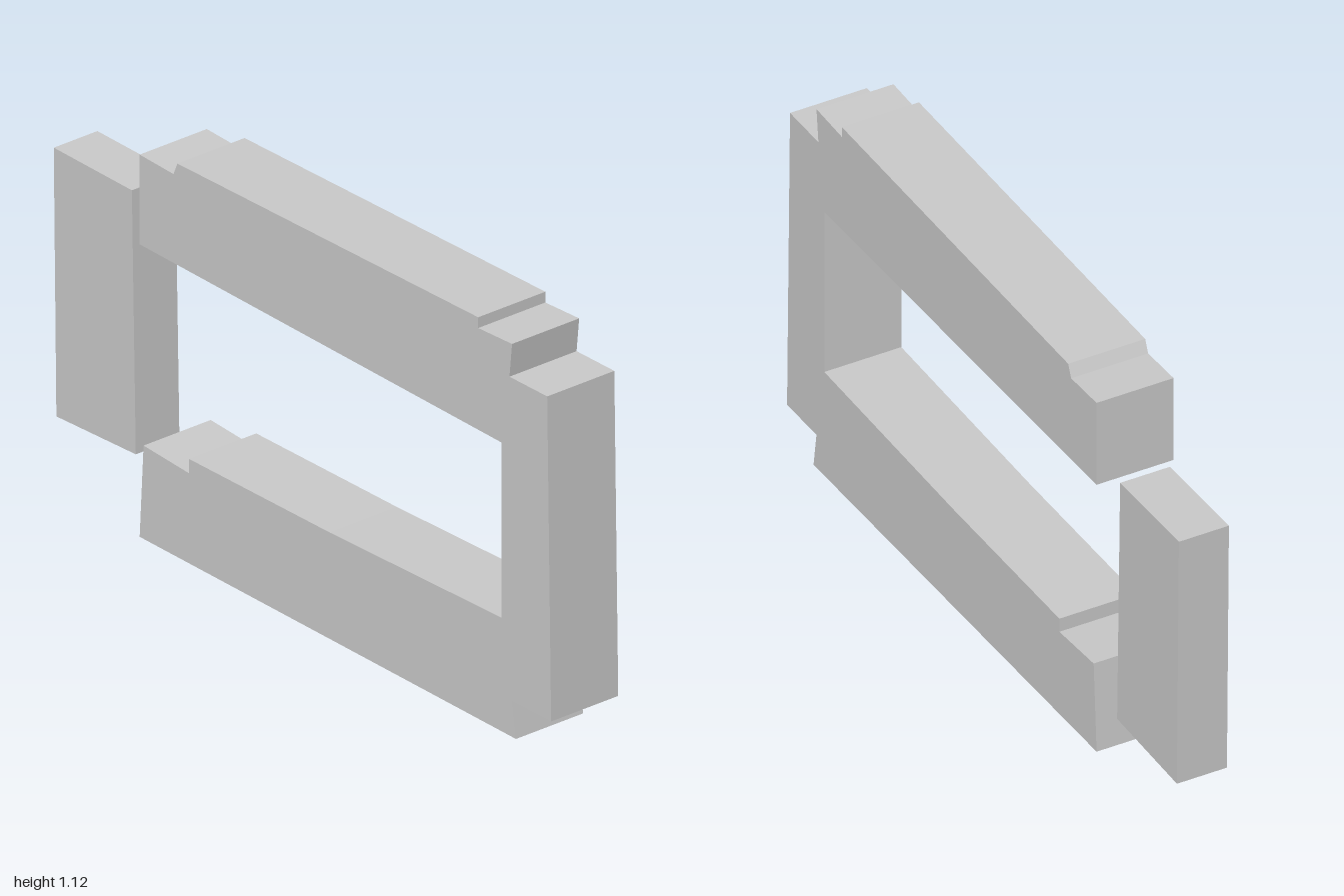
import * as THREE from 'three';

const material = new THREE.MeshStandardMaterial({ color: 0xcccccc, flatShading: true });

// Straight-sided slab from a front outline, spanning zBack to zFront
function slab(name, outline, zBack, zFront) {
  const shape = new THREE.Shape(outline.map(([x, y]) => new THREE.Vector2(x, y)));
  const geometry = new THREE.ExtrudeGeometry(shape, { depth: zFront - zBack, bevelEnabled: false });
  geometry.translate(0, 0, zBack);
  const mesh = new THREE.Mesh(geometry, material);
  mesh.name = name;
  return mesh;
}

export function createModel() {
  const group = new THREE.Group();
  group.name = 'openFrame';

  // C-shaped frame: lower arm, notched upright, upper arm
  group.add(slab('frame', [
    [-0.58, 0.015], [0.865, 0], [0.85, 0.1], [1, 0.1],
    [0.985, 1], [0.84, 1], [0.85, 1.095], [0.72, 1.09],
    [0.72, 1.12], [-0.435, 1.11], [-0.45, 1.075], [-0.58, 1.08],
    [-0.58, 0.83], [0.81, 0.805], [0.81, 0.317], [0.15, 0.304],
    [-0.39, 0.304], [-0.39, 0.264], [-0.565, 0.275],
  ], -0.11, 0.11));

  // Separate, thinner block beside the open end, flush with the back
  group.add(slab('endBlock', [
    [-0.99, 0.17], [-0.685, 0.18], [-0.7, 0.91], [-1, 0.915],
  ], -0.11, 0.033));

  return group;
}
